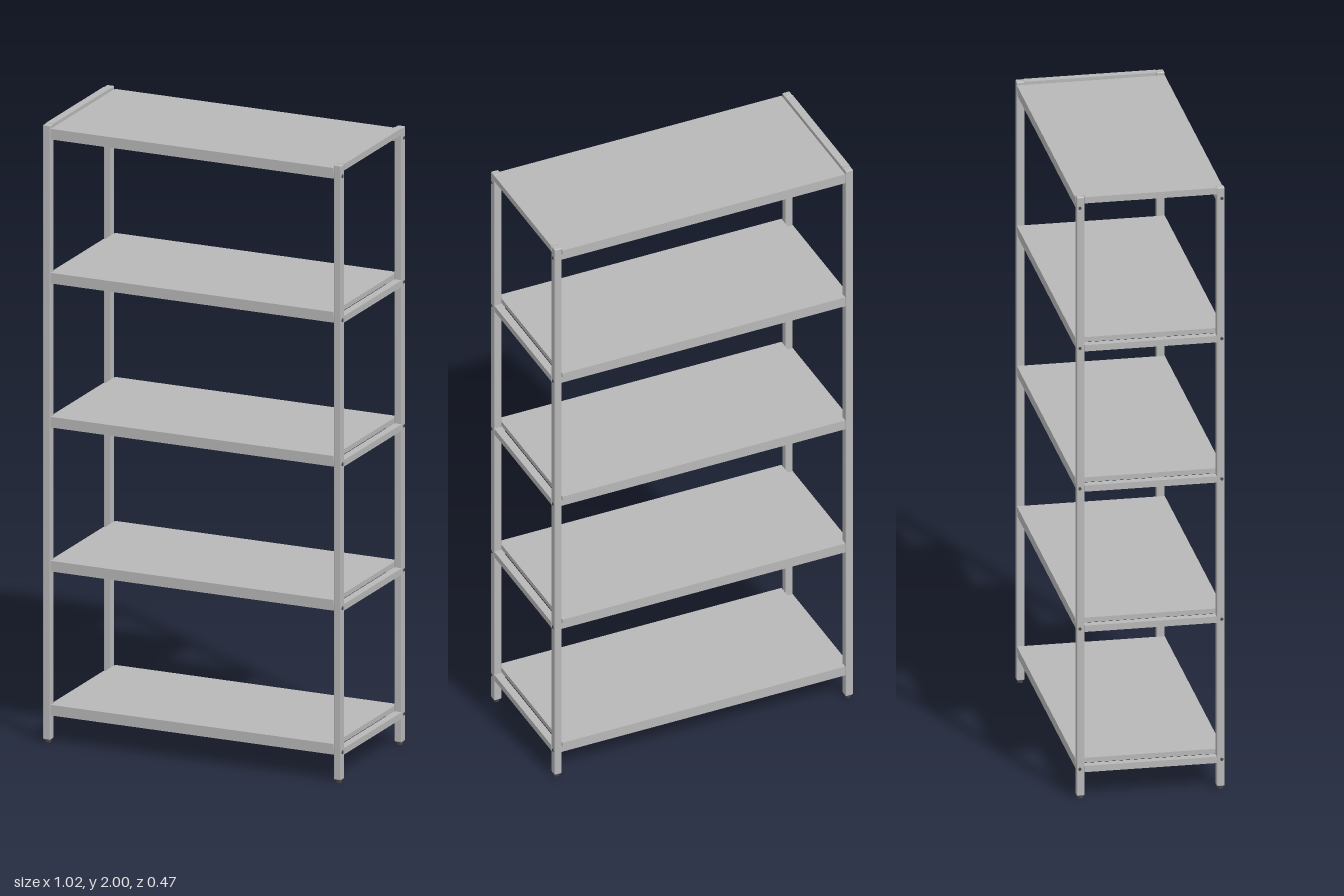
import * as THREE from 'three';
import { RoundedBoxGeometry } from 'three/addons/geometries/RoundedBoxGeometry.js';

const steel = new THREE.MeshStandardMaterial({ color: 0xb8b8b8 });
steel.name = 'grey steel';
const dark = new THREE.MeshStandardMaterial({ color: 0x4a4a4a });
dark.name = 'dark fittings';

const W = 0.51;      // half width over the posts
const D = 0.233;     // half depth over the posts
const T = 0.025;     // tube thickness
const SHELF_TOPS = [0.125, 0.592, 1.058, 1.525 + 0.012, 1.99].map((y, i) => 0.125 + i * 0.46625);
const PANEL = 0.016; // shelf board thickness
const RAIL = 0.019;  // rail height

function add(parent, name, geometry, material, x, y, z) {
  const mesh = new THREE.Mesh(geometry, material);
  mesh.name = name;
  mesh.position.set(x, y, z);
  parent.add(mesh);
  return mesh;
}

export function createModel() {
  const model = new THREE.Group();
  model.name = 'shelvingRack';
  const px = W - T / 2, pz = D - T / 2;

  const postGeo = new RoundedBoxGeometry(T, 1.99, T, 2, 0.003);
  const footGeo = new THREE.CylinderGeometry(0.011, 0.009, 0.012, 16);
  const boltGeo = new THREE.CylinderGeometry(0.005, 0.005, 0.004, 12).rotateZ(Math.PI / 2);
  const panelGeo = new THREE.BoxGeometry(2 * (W - T) - 0.004, PANEL, 2 * D);
  const longRailGeo = new THREE.BoxGeometry(2 * (W - T), RAIL, T - 0.002);
  const sideRailGeo = new THREE.BoxGeometry(T, RAIL + 0.002, 2 * (D - T));

  // Corner posts with feet
  for (const sx of [-1, 1]) for (const sz of [-1, 1]) {
    add(model, 'post', postGeo, steel, sx * px, 1.005, sz * pz);
    add(model, 'foot', footGeo, dark, sx * px, 0.006, sz * pz);
  }

  // Shelves: board on two long rails, carried by side rails
  SHELF_TOPS.forEach((top, i) => {
    const shelf = new THREE.Group();
    shelf.name = 'shelf';
    model.add(shelf);
    const isTop = i === SHELF_TOPS.length - 1;
    const railY = top - PANEL - RAIL / 2;
    add(shelf, 'board', panelGeo, steel, 0, top - PANEL / 2, 0);
    for (const s of [-1, 1]) {
      add(shelf, 'longRail', longRailGeo, steel, 0, railY, s * (pz - 0.001));
      // the topmost side rails close the end frames flush with the posts
      add(shelf, 'sideRail', sideRailGeo, steel, s * px, isTop ? 2 - RAIL / 2 - 0.001 : railY - 0.001, 0);
      for (const sz of [-1, 1]) add(shelf, 'bolt', boltGeo, dark, s * (W + 0.0005), railY, sz * (pz + 0.003));
    }
  });
  return model;
}
